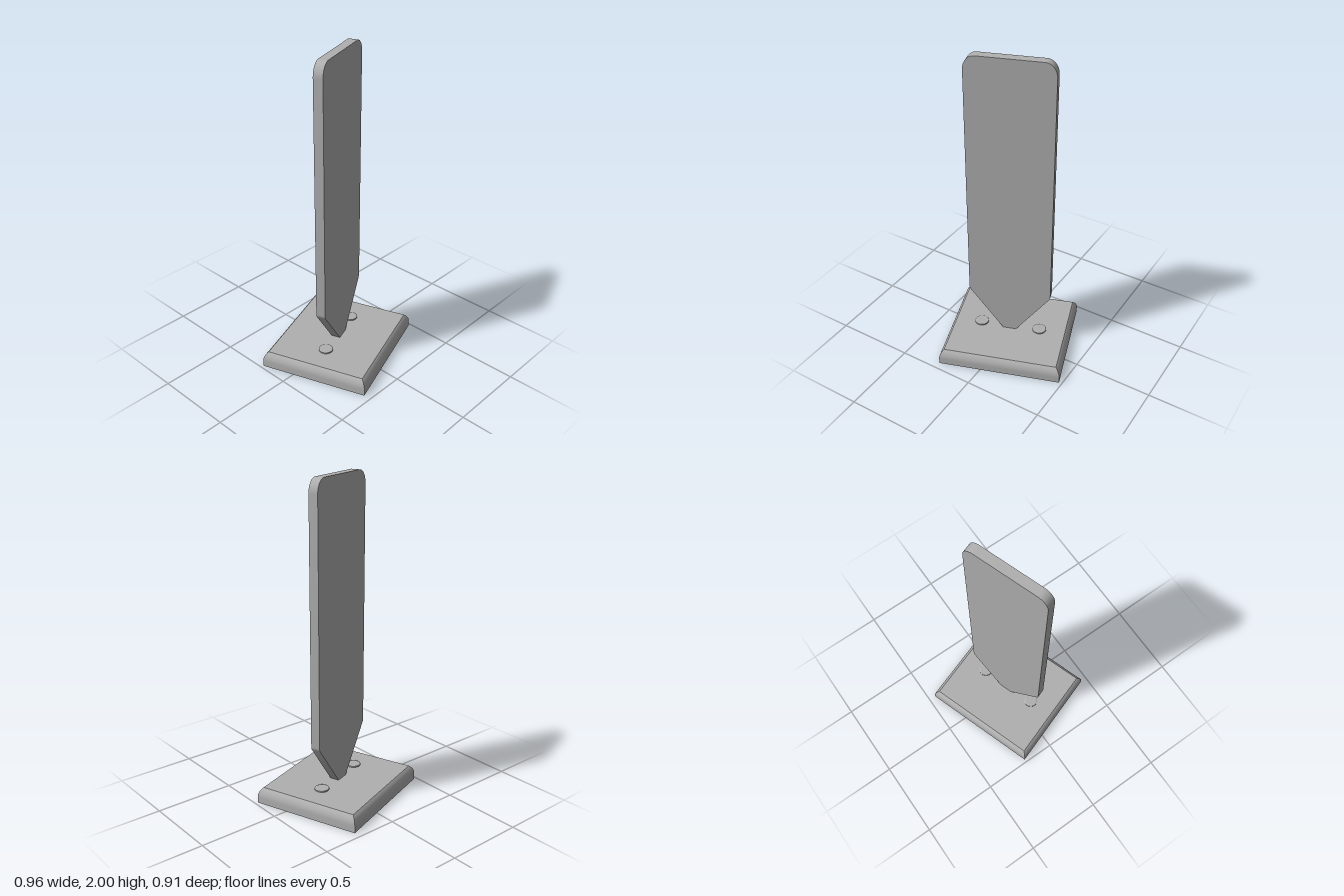
import * as THREE from 'three';
import { toCreasedNormals } from 'three/addons/utils/BufferGeometryUtils.js';

const grey = new THREE.MeshStandardMaterial({ color: 0xb0b0b0 });
grey.name = 'grey';

function part(name, geometry) {
  const mesh = new THREE.Mesh(geometry, grey);
  mesh.name = name;
  return mesh;
}

// Rectangular slab whose sides curve inward towards the top, mitred at the corners
function baseGeometry(halfW, halfD, height, straight, radius) {
  const profile = [[0, 0]];
  const end = Math.asin((height - straight) / radius);
  for (let i = 0; i <= 6; i++) {
    const a = (end * i) / 6;
    profile.push([radius * (1 - Math.cos(a)), straight + radius * Math.sin(a)]);
  }
  const positions = [];
  for (const [inset, y] of profile) {
    const w = halfW - inset, d = halfD - inset;
    positions.push(-w, y, d, w, y, d, w, y, -d, -w, y, -d);
  }
  const index = [0, 2, 1, 0, 3, 2];
  for (let r = 0; r < profile.length - 1; r++) {
    for (let c = 0; c < 4; c++) {
      const a = r * 4 + c, b = r * 4 + ((c + 1) % 4);
      index.push(a, b, b + 4, a, b + 4, a + 4);
    }
  }
  const t = (profile.length - 1) * 4;
  index.push(t, t + 1, t + 2, t, t + 2, t + 3);
  const geometry = new THREE.BufferGeometry();
  geometry.setAttribute('position', new THREE.Float32BufferAttribute(positions, 3));
  geometry.setIndex(index);
  return toCreasedNormals(geometry, 0.5);
}

// Upright panel: rounded top corners, tapering to a narrow foot
function panelGeometry(halfW, footHalf, thickness) {
  const rx = 0.07, ry = 0.085, top = 2, bend = 0.395, foot = 0.095;
  const s = new THREE.Shape();
  s.moveTo(-footHalf, foot);
  s.lineTo(footHalf, foot);
  s.lineTo(halfW - 0.008, bend - 0.012);
  s.quadraticCurveTo(halfW, bend, halfW, bend + 0.012);
  s.lineTo(halfW, top - ry);
  s.absellipse(halfW - rx, top - ry, rx, ry, 0, Math.PI / 2, false);
  s.lineTo(-halfW + rx, top);
  s.absellipse(-halfW + rx, top - ry, rx, ry, Math.PI / 2, Math.PI, false);
  s.lineTo(-halfW, bend + 0.012);
  s.quadraticCurveTo(-halfW, bend, -halfW + 0.008, bend - 0.012);
  const geometry = new THREE.ExtrudeGeometry(s, { depth: thickness, bevelEnabled: false, curveSegments: 10 });
  geometry.translate(0, 0, -thickness / 2);
  return toCreasedNormals(geometry, 0.5);
}

export function createModel() {
  const model = new THREE.Group();
  model.name = 'standingPanel';

  // Everything is turned together about the upright axis
  const turned = new THREE.Group();
  turned.name = 'turnedStand';
  turned.rotation.y = 0.333;
  model.add(turned);

  turned.add(part('base', baseGeometry(0.389, 0.346, 0.1, 0.04, 0.08)));
  turned.add(part('panel', panelGeometry(0.263, 0.04, 0.059)));

  // Low bolt heads on either side of the foot
  const profile = [[0.045, 0], [0.045, 0.009], [0.038, 0.012], [0, 0.012]].map(([r, y]) => new THREE.Vector2(r, y));
  const boltGeometry = toCreasedNormals(new THREE.LatheGeometry(profile, 32), 0.3);
  for (const [side, name] of [[1, 'leftBolt'], [-1, 'rightBolt']]) {
    const bolt = part(name, boltGeometry);
    bolt.position.set(side * 0.193, 0.099, 0);
    turned.add(bolt);
  }
  return model;
}
